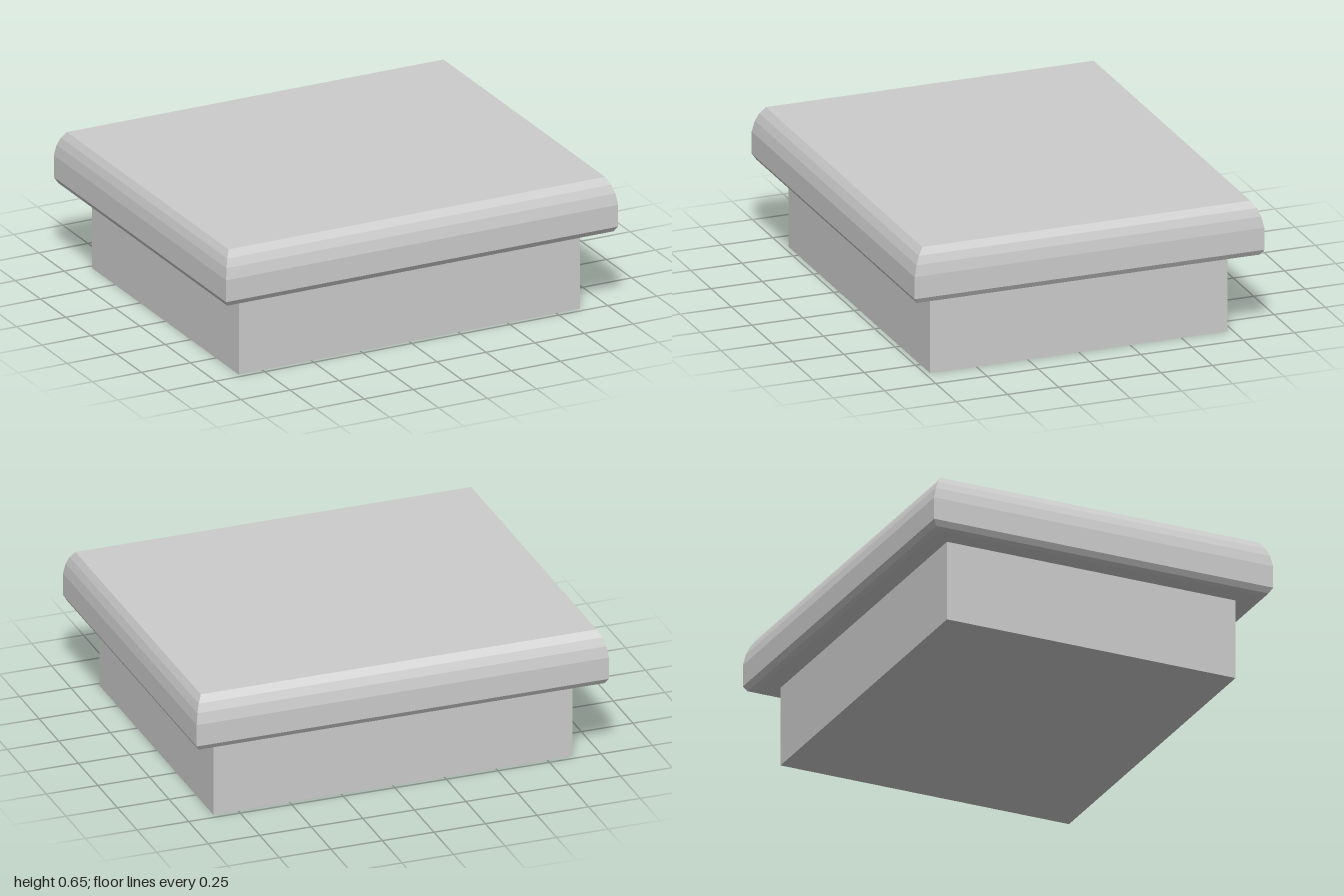
import * as THREE from 'three';

// Rectangular loft: each level is [half width, half depth, y], bottom to top, capped at both ends
function rectLoft(levels) {
  const rings = levels.map(([w, d, y]) => [[w, y, d], [w, y, -d], [-w, y, -d], [-w, y, d]]);
  const pos = [];
  const quad = (a, b, c, d) => pos.push(...a, ...b, ...c, ...a, ...c, ...d);
  for (let k = 0; k < rings.length - 1; k++) {
    const lo = rings[k], hi = rings[k + 1];
    for (let i = 0; i < 4; i++) {
      const j = (i + 1) % 4;
      quad(lo[i], lo[j], hi[j], hi[i]);
    }
  }
  const bottom = rings[0], top = rings[rings.length - 1];
  quad(...top);
  quad(bottom[3], bottom[2], bottom[1], bottom[0]);
  const geo = new THREE.BufferGeometry();
  geo.setAttribute('position', new THREE.Float32BufferAttribute(pos, 3));
  geo.computeVertexNormals();
  return geo;
}

export function createModel() {
  const group = new THREE.Group();
  group.name = 'cappedBlock';
  const grey = new THREE.MeshStandardMaterial({ color: 0xcccccc, flatShading: true });
  grey.name = 'light grey';

  // Plain rectangular base block
  const base = new THREE.Mesh(new THREE.BoxGeometry(1.74, 0.388, 1.452), grey);
  base.position.y = 0.194;
  base.name = 'base';
  group.add(base);

  // Overhanging slab with a small rounded lower edge and a tall rounded upper edge
  const slab = new THREE.Mesh(rectLoft([
    [0.963, 0.813, 0.388],
    [0.985, 0.836, 0.397],
    [1, 0.853, 0.423],
    [1, 0.853, 0.53],
    [0.992, 0.841, 0.583],
    [0.979, 0.824, 0.622],
    [0.96, 0.8, 0.655],
  ]), grey);
  slab.name = 'topSlab';
  group.add(slab);

  return group;
}
